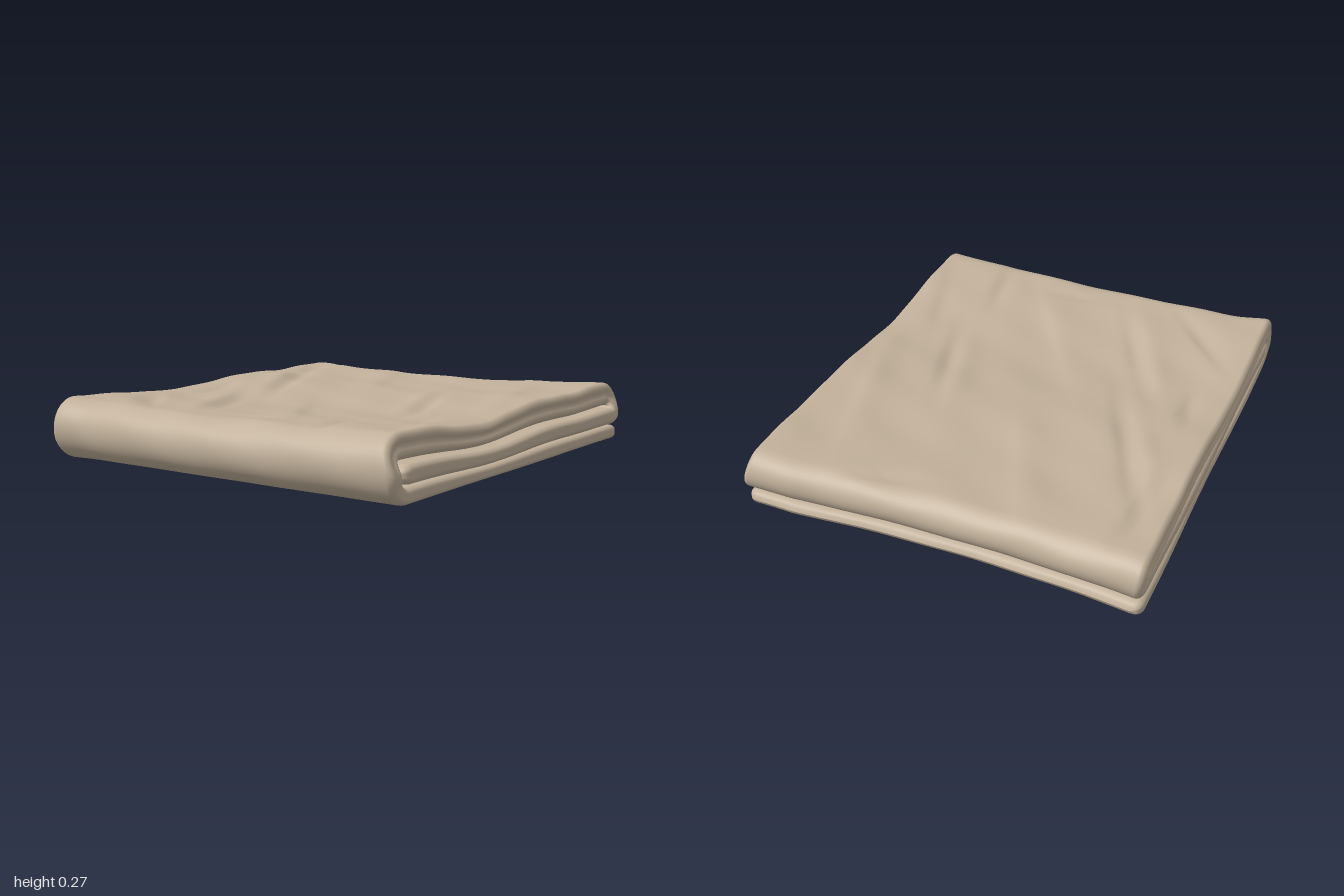
import * as THREE from 'three';

const smooth = (a, b, v) => THREE.MathUtils.smoothstep(v, a, b);
const bell = (v, w) => Math.exp(-((v / w) ** 2));

// Creases in the top: x, z, angle, length, width, height
const CREASES = [
  [0.32, -0.64, -0.42, 0.36, 0.05, 0.015], [0.28, -0.54, -0.42, 0.34, 0.05, -0.016],
  [-0.38, -0.44, -0.45, 0.3, 0.05, 0.013], [-0.42, -0.34, -0.45, 0.3, 0.05, -0.012],
  [-0.08, -0.7, -0.1, 0.14, 0.035, -0.016], [0.65, -0.74, 0.12, 0.2, 0.04, -0.02],
  [-0.7, 0.46, -0.12, 0.16, 0.04, -0.017], [-0.02, 0.42, -0.28, 0.24, 0.04, -0.015],
  [0.02, 0.34, -0.28, 0.26, 0.05, 0.011], [-0.45, 0.05, -0.55, 0.35, 0.06, 0.01],
  [-0.6, -0.62, -0.7, 0.25, 0.05, -0.014], [0.86, 0.28, 1.3, 0.14, 0.03, -0.012],
  [0.3, 0.64, -0.25, 0.4, 0.06, 0.01], [0.55, -0.2, -0.4, 0.35, 0.07, 0.009],
  [-0.5, 0.68, -0.3, 0.3, 0.05, -0.01], [-0.78, 0.08, 1.4, 0.12, 0.03, -0.01],
];

function creaseHeight(x, z) {
  let h = 0;
  for (const [cx, cz, a, len, wid, amp] of CREASES) {
    const dx = x - cx, dz = z - cz, c = Math.cos(a), s = Math.sin(a);
    const across = dz * c - dx * s;
    // steep on one side, gentle on the other
    h += amp * bell(dx * c + dz * s, len) * bell(across, wid * (across > 0 ? 0.6 : 1.3));
  }
  return h + 0.002 * Math.sin(9 * x + 17 * z) + 0.0015 * Math.sin(23 * x + 11 * z + 1);
}

// The three layers: height of the centre line and half thickness
const BOTTOM = [0.035, 0.032], MIDDLE = [0.112, 0.037], TOP = [0.213, 0.053];

// Centre line of the folded cloth with its half thickness, seen from the front
function foldPath() {
  const pts = [];
  const line = (x0, x1, layer, n) => {
    for (let i = 0; i < n; i++) pts.push([x0 + (x1 - x0) * i / n, ...layer]);
  };
  const arc = (cx, from, to, rx, n) => {
    for (let i = 0; i < n; i++) {
      const a = Math.PI * i / n, f = (1 - Math.cos(a)) / 2;
      pts.push([cx + rx * Math.sin(a), from[0] + (to[0] - from[0]) * f,
        from[1] + (to[1] - from[1]) * f]);
    }
  };
  line(0.955, 0.9, BOTTOM, 8);
  line(0.9, -0.865, BOTTOM, 50);
  arc(-0.865, BOTTOM, TOP, -0.085, 22);  // big fold on the right
  line(-0.865, 0.88, TOP, 64);
  arc(0.88, TOP, MIDDLE, 0.055, 20);     // fold on the left
  line(0.88, -0.84, MIDDLE, 50);
  line(-0.84, -0.9, MIDDLE, 8);
  pts.push([-0.9, ...MIDDLE]);
  return pts;
}

// Cloth drape: sagging top, creases and uneven side edges
function drape(x, y, z) {
  const sag = -0.034 * bell(x + 0.25, 0.35) - 0.011 * bell(x - 0.55, 0.2)
    - 0.018 * bell(z, 0.6) + 0.006 * smooth(0.6, 0.85, Math.abs(z))
    - 0.014 * smooth(0.7, 0.85, z) * bell(x + 0.3, 0.35);
  const up = Math.min(1, Math.max(0, y / 0.25));
  const ny = y + up * sag + smooth(0.18, 0.26, y) * creaseHeight(x, z);
  const right = smooth(0.65, 0.95, x) * (-0.02 + 0.04 * Math.min(1, (z + 0.1) ** 2 / 0.55));
  const left = smooth(0.65, 0.95, -x) * (0.018 - 0.02 * z - 0.018 * smooth(0.68, 0.86, -z));
  return [x + right + left + 0.0015 * Math.sin(14 * z + 20 * y) * smooth(0.8, 0.95, Math.abs(x)),
    Math.max(0.001, ny), z];
}

function clothGeometry() {
  const path = foldPath(), NZ = 60, NC = 12, last = path.length - 1, HEM = 0.032;
  const pos = [], index = [], ring = 2 * (NZ + NC);
  path.forEach(([px, py, half], i) => {
    const p = path[Math.max(0, i - 1)], q = path[Math.min(last, i + 1)];
    const l = Math.hypot(q[0] - p[0], q[1] - p[1]);
    const nx = -(q[1] - p[1]) / l, ny = (q[0] - p[0]) / l;
    // rounded hem at both ends of the cloth
    const e = Math.min(1, Math.min(i, last - i) / 7);
    const round = Math.sqrt(1 - (1 - e) ** 2), t = half * round;
    const inset = 0.045 * (1 - round);
    const top = smooth(0.12, 0.213, py);
    const mid = bell(py - 0.11, 0.03);
    const front = 0.866 - 0.025 * top + 0.008 * mid + 0.003 * Math.sin(6 * px + 20 * py) - inset - HEM;
    const back = -0.862 - 0.01 * top - 0.002 * mid + 0.003 * Math.sin(5 * px + 30 * py) + inset + HEM;
    const add = (n, z) => pos.push(...drape(px + nx * n, py + ny * n, z));
    const seam = 0.15 + 0.45 * top; // groove along the doubled edge
    const side = (z, dir) => {
      for (let k = 0; k < NC; k++) {
        const a = Math.PI * k / NC, s = Math.sin(a);
        add(dir * t * Math.cos(a), z + dir * HEM * s * (1 - seam * s ** 16));
      }
    };
    for (let k = 0; k < NZ; k++) add(t, back + (front - back) * k / NZ);
    side(front, 1);
    for (let k = 0; k < NZ; k++) add(-t, front + (back - front) * k / NZ);
    side(back, -1);
    if (i === last) return;
    for (let k = 0; k < ring; k++) {
      const a = i * ring + k, b = i * ring + (k + 1) % ring;
      index.push(a, b, a + ring, b, b + ring, a + ring);
    }
  });
  const g = new THREE.BufferGeometry();
  g.setAttribute('position', new THREE.Float32BufferAttribute(pos, 3));
  g.setIndex(index);
  g.computeVertexNormals();
  return g;
}

export function createModel() {
  const group = new THREE.Group();
  group.name = 'foldedBlanket';
  const beige = new THREE.MeshStandardMaterial({ color: 0xc2b19b });
  beige.name = 'beigeCloth';
  const cloth = new THREE.Mesh(clothGeometry(), beige);
  cloth.name = 'foldedCloth';
  group.add(cloth);
  return group;
}
